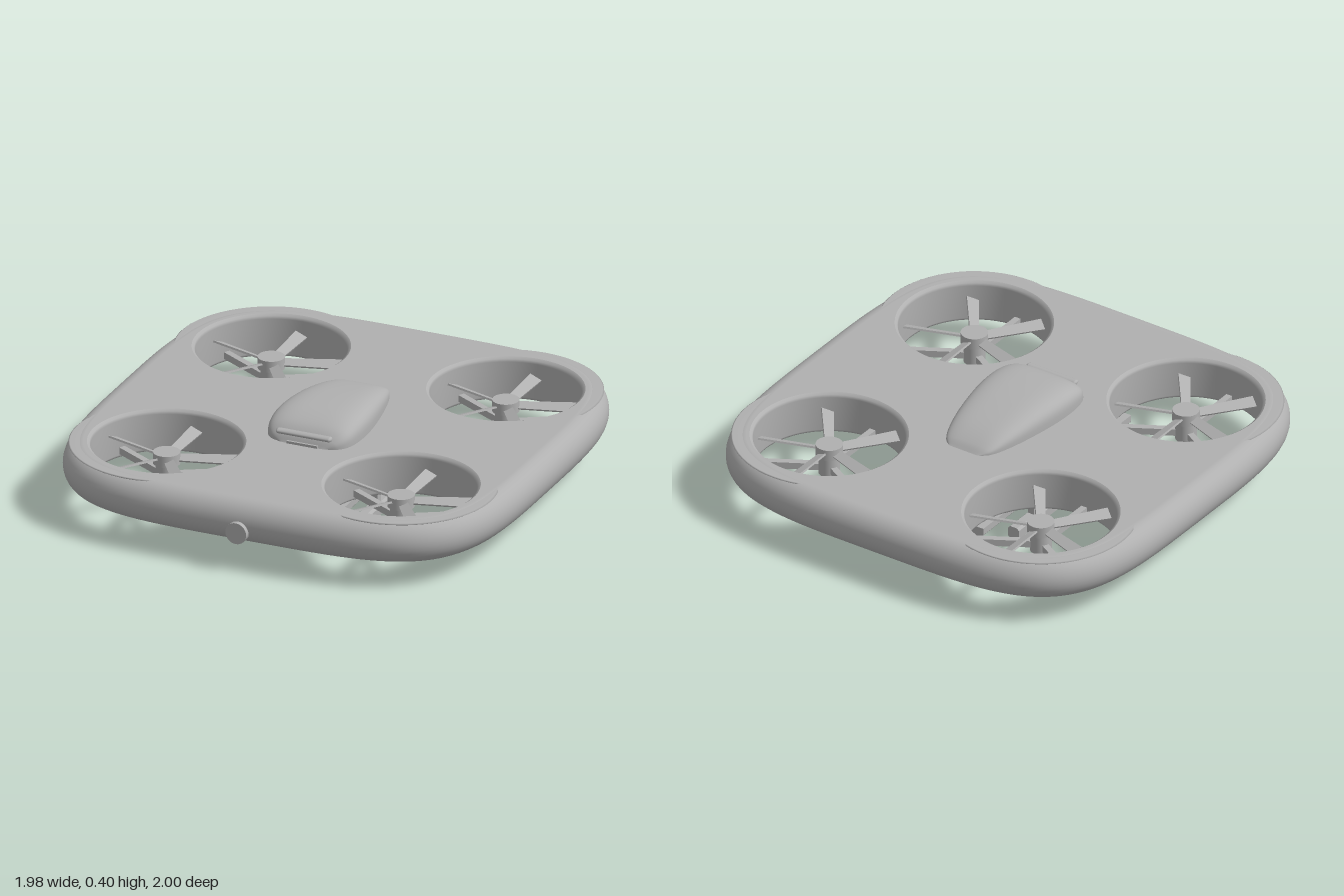
import * as THREE from 'three';
import { ParametricGeometry } from 'three/addons/geometries/ParametricGeometry.js';

const grey = new THREE.MeshStandardMaterial({ color: 0xb0b0b0, side: THREE.DoubleSide });
grey.name = 'grey';

const BODY_MID = 0.2, BODY_HALF = 0.095, EDGE = 0.085, BODY_Z = -0.01;
const DUCT_R = 0.315, DUCT_X = 0.53, DUCT_Z = [-0.54, 0.515];

function add(parent, name, geometry, x = 0, y = 0, z = 0) {
  const mesh = new THREE.Mesh(geometry, grey);
  mesh.name = name;
  mesh.position.set(x, y, z);
  parent.add(mesh);
  return mesh;
}

const spow = (v, p) => Math.sign(v) * Math.abs(v) ** p;

// rounded-square plan of the hull, moved inwards along its normal
function outline(t, inset) {
  const a = t * Math.PI * 2;
  const x = spow(Math.cos(a), 0.5), z = spow(Math.sin(a), 0.5);
  const n = new THREE.Vector2(x ** 3, z ** 3).normalize();
  return [0.99 * x - inset * n.x, BODY_Z + 0.99 * z - inset * n.y];
}

// flat hull skin with four duct openings; s flips z for the upper skin
function skin(s) {
  const pts = [];
  for (let i = 0; i < 128; i++) {
    const [x, z] = outline(i / 128, EDGE);
    pts.push(new THREE.Vector2(x, s * z));
  }
  const shape = new THREE.Shape(pts);
  for (const x of [-DUCT_X, DUCT_X]) for (const z of DUCT_Z) {
    shape.holes.push(new THREE.Path().absarc(x, s * z, DUCT_R + 0.014, 0, Math.PI * 2, true));
  }
  return new THREE.ShapeGeometry(shape, 48).rotateX(s * Math.PI / 2);
}

function makeHull() {
  const hull = new THREE.Group();
  hull.name = 'hull';
  add(hull, 'upperSkin', skin(-1), 0, BODY_MID + BODY_HALF);
  add(hull, 'lowerSkin', skin(1), 0, BODY_MID - BODY_HALF);
  add(hull, 'roundedEdge', new ParametricGeometry((u, v, p) => {
    const a = (v - 0.5) * Math.PI;
    const [x, z] = outline(u, EDGE * (1 - Math.cos(a)));
    p.set(x, BODY_MID + BODY_HALF * Math.sin(a), z);
  }, 128, 16));
  return hull;
}

// one duct with its lip, rotor and struts
function makeDuct(x, z) {
  const g = new THREE.Group();
  g.name = 'ductedRotor';
  g.position.set(x, 0, z);
  const wall = [[0.331, 0.105], [0.32, 0.109], [DUCT_R, 0.12], [DUCT_R, 0.275],
    [0.318, 0.287], [0.331, 0.295]].map(p => new THREE.Vector2(...p));
  add(g, 'ductWall', new THREE.LatheGeometry(wall, 64));
  const lip = [[0.335, 0.293], [0.4, 0.294], [0.406, 0.29], [0.4, 0.286], [0.335, 0.283]]
    .map(p => new THREE.Vector2(...p));
  add(g, 'ductLip', new THREE.LatheGeometry(lip, 64));

  add(g, 'hub', new THREE.CylinderGeometry(0.057, 0.057, 0.05, 32), 0, 0.222, 0);
  add(g, 'motor', new THREE.CylinderGeometry(0.045, 0.045, 0.09, 32), 0, 0.155, 0);

  // five pitched blades, wider at the tip
  for (let i = 0; i < 5; i++) {
    const blade = new THREE.BoxGeometry(0.26, 0.008, 0.05);
    const pos = blade.attributes.position;
    for (let k = 0; k < pos.count; k++) {
      pos.setZ(k, pos.getZ(k) * (pos.getX(k) > 0 ? 1.1 : 0.8));
    }
    blade.rotateX(0.4).translate(0.17, 0, 0).rotateY(Math.PI / 2 + i * Math.PI * 0.4);
    blade.computeVertexNormals();
    add(g, 'blade', blade, 0, 0.222, 0);
  }
  // three struts holding the motor
  for (let i = 0; i < 3; i++) {
    const strut = new THREE.BoxGeometry(0.3, 0.03, 0.028).translate(0.167, 0, 0);
    add(g, 'strut', strut.rotateY(-Math.PI / 2 + i * Math.PI * 2 / 3), 0, 0.14, 0);
  }
  return g;
}

// canopy lofted along z from (z, half width, height)
function makeCanopy() {
  const g = new THREE.Group();
  g.name = 'canopy';
  const curve = new THREE.CatmullRomCurve3([
    [-0.335, 0.07, 0], [-0.3, 0.11, 0.028], [-0.22, 0.143, 0.062], [-0.05, 0.18, 0.096],
    [0.1, 0.198, 0.105], [0.2, 0.197, 0.097], [0.27, 0.182, 0.074], [0.31, 0.15, 0.04],
    [0.332, 0.09, 0]].map(p => new THREE.Vector3(...p)));
  add(g, 'canopyShell', new ParametricGeometry((u, v, p) => {
    const s = curve.getPoint(v);
    const a = u * Math.PI;
    p.set(s.y * spow(Math.cos(a), 0.55), 0.293 + s.z * Math.sin(a) ** 0.55, s.x);
  }, 32, 40));
  const bar = new THREE.CapsuleGeometry(0.011, 0.228, 6, 12).rotateZ(Math.PI / 2);
  bar.scale(1, 1, 1.7);
  add(g, 'visorBar', bar, 0, 0.336, 0.311);
  add(g, 'canopyFoot', new THREE.BoxGeometry(0.14, 0.012, 0.03), 0, 0.3, 0.32);
  return g;
}

// shallow tray under the hull
function makeBelly() {
  const s = new THREE.Shape();
  s.moveTo(-0.245, 0.11);
  s.lineTo(-0.245, 0.08);
  s.quadraticCurveTo(-0.24, 0.063, -0.15, 0.057);
  s.quadraticCurveTo(0, 0.052, 0.15, 0.057);
  s.quadraticCurveTo(0.24, 0.063, 0.245, 0.08);
  s.lineTo(0.245, 0.11);
  return new THREE.ExtrudeGeometry(s, { depth: 1.075, bevelEnabled: false, curveSegments: 10 });
}

// landing skid rail with two legs
function makeSkid(side) {
  const g = new THREE.Group();
  g.name = side > 0 ? 'leftSkid' : 'rightSkid';
  const w = 0.027, c = 0.01;
  const s = new THREE.Shape([[-w + c, 0], [w - c, 0], [w, c], [w, 0.048], [w - c, 0.058],
    [-w + c, 0.058], [-w, 0.048], [-w, c]].map(p => new THREE.Vector2(...p)));
  add(g, 'rail', new THREE.ExtrudeGeometry(s, { depth: 0.78, bevelEnabled: false }), 0, 0, -0.395);
  for (const z of [0.24, -0.25]) {
    add(g, 'leg', new THREE.BoxGeometry(0.03, 0.06, 0.034), 0, 0.082, z);
  }
  g.position.x = side * 0.293;
  return g;
}

export function createModel() {
  const model = new THREE.Group();
  model.name = 'drone';
  model.add(makeHull(), makeCanopy(), makeSkid(1), makeSkid(-1));
  for (const x of [-DUCT_X, DUCT_X]) for (const z of DUCT_Z) model.add(makeDuct(x, z));
  add(model, 'bellyTray', makeBelly(), 0, 0, -0.545);
  add(model, 'frontCamera', new THREE.CylinderGeometry(0.047, 0.047, 0.06, 32).rotateX(Math.PI / 2),
    0, 0.17, 0.97);
  return model;
}
